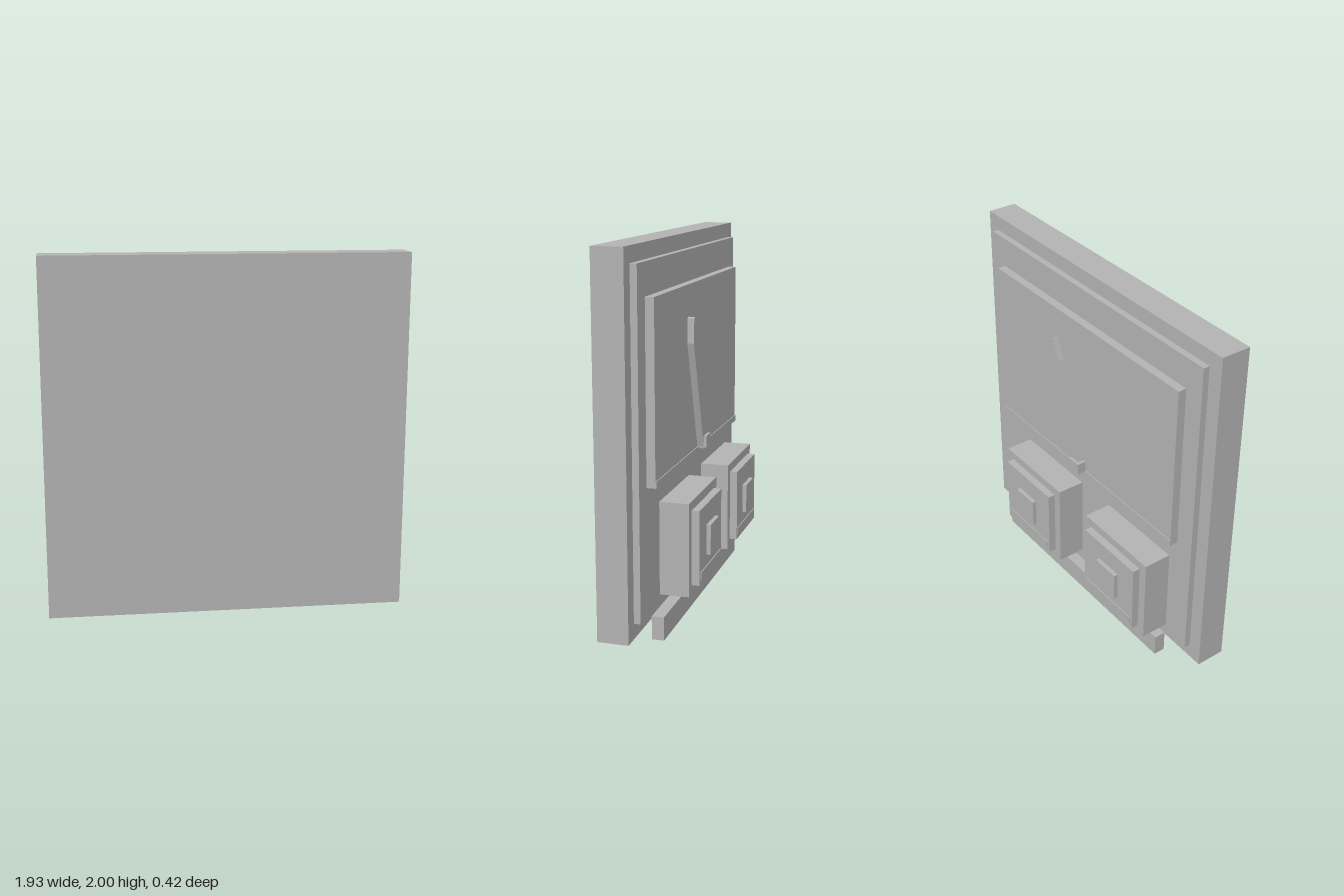
import * as THREE from 'three';

export function createModel() {
  const group = new THREE.Group();
  const grey = new THREE.MeshStandardMaterial({ color: 0xb2b2b2 });
  grey.name = 'plain grey';

  // Box given by its extents on each axis
  const box = (name, x0, x1, y0, y1, z0, z1, parent = group) => {
    const mesh = new THREE.Mesh(new THREE.BoxGeometry(x1 - x0, y1 - y0, z1 - z0), grey);
    mesh.position.set((x0 + x1) / 2, (y0 + y1) / 2, (z0 + z1) / 2);
    mesh.name = name;
    parent.add(mesh);
    return mesh;
  };

  // Stepped panel
  box('body', -0.967, 0.967, 0.065, 2, 0.047, 0.21);
  box('facePlate', -0.885, 0.885, 0.147, 1.918, 0.012, 0.047);
  box('dial', -0.775, 0.775, 0.815, 1.752, -0.034, 0.012);
  box('dialTrim', -0.777, 0.777, 0.815, 0.85, -0.039, -0.034);
  box('bottomBar', -0.718, 0.718, 0, 0.125, -0.055, 0.01);

  // Tilted needle with tapered tip
  const outline = [
    [-0.04, 0.862], [0.038, 0.84], [0.23, 1.447],
    [0.224, 1.578], [0.206, 1.584], [0.154, 1.47],
  ].map(([x, y]) => new THREE.Vector2(x, y));
  const needle = new THREE.Mesh(
    new THREE.ExtrudeGeometry(new THREE.Shape(outline), { depth: 0.036, bevelEnabled: false }), grey);
  needle.position.z = -0.07;
  needle.name = 'needle';
  group.add(needle);
  box('needlePivot', -0.043, 0.042, 0.847, 0.912, -0.086, -0.034);

  // Two stepped square buttons
  for (const [name, cx] of [['rightButton', -0.459], ['leftButton', 0.315]]) {
    const button = new THREE.Group();
    button.name = name;
    button.position.x = cx;
    group.add(button);
    box('buttonBlock', -0.262, 0.262, 0.19, 0.688, -0.145, 0.012, button);
    box('buttonPlate', -0.212, 0.212, 0.238, 0.64, -0.187, -0.145, button);
    box('buttonStrip', -0.197, 0.197, 0.262, 0.305, -0.192, -0.187, button);
    box('buttonMark', -0.082, 0.082, 0.365, 0.528, -0.21, -0.187, button);
  }
  return group;
}
